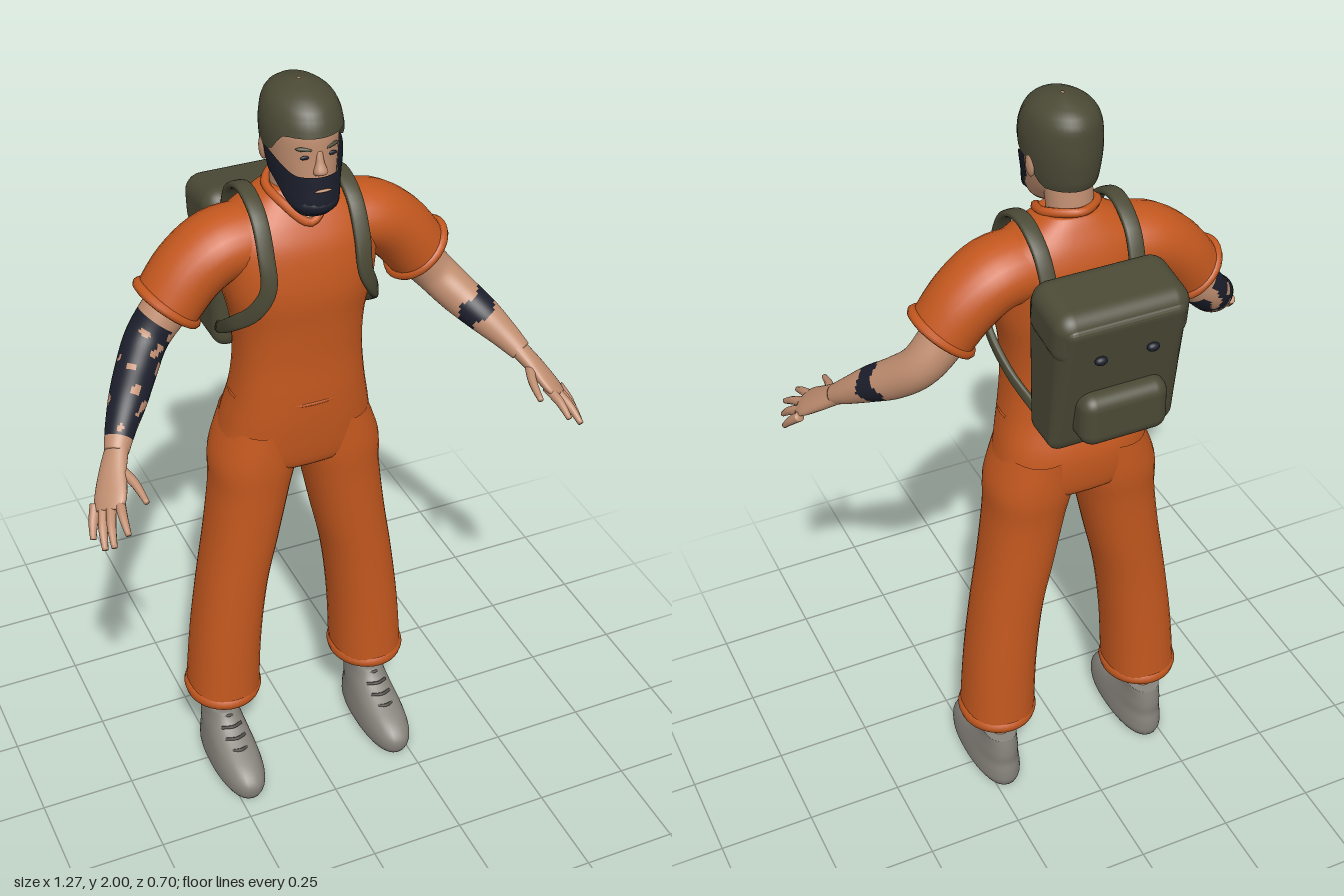
import * as THREE from 'three';
import { RoundedBoxGeometry } from 'three/addons/geometries/RoundedBoxGeometry.js';
import { ParametricGeometry } from 'three/addons/geometries/ParametricGeometry.js';

const V = (a) => new THREE.Vector3(...a);
const step = THREE.MathUtils.smoothstep;

// Catmull-Rom resampling of rows of numbers
function smooth(rows, sub) {
  const out = [], last = rows.length - 1;
  for (let i = 0; i < last; i++) {
    const p = [rows[Math.max(i - 1, 0)], rows[i], rows[i + 1], rows[Math.min(i + 2, last)]];
    for (let k = 0; k < sub; k++) {
      const t = k / sub;
      out.push(rows[i].map((b, c) => {
        const a = p[0][c], d = p[2][c], e = p[3][c];
        return b + 0.5 * t * (d - a + t * (2 * a - 5 * b + 4 * d - e + t * (3 * (b - d) + e - a)));
      }));
    }
  }
  out.push(rows[last]);
  return out;
}

// Skin through rows [x, y, z, ru, rv, (ref x, y, z)]; flat keeps every ring horizontal
function loft(rows, { sub = 5, n = 24, p = 2, ref = [1, 0, 0], flat = false, caps = true, paint = null } = {}) {
  const R = smooth(rows, sub), pos = [], faces = [[], []], m = R.length;
  const pow = (v) => Math.sign(v) * Math.abs(v) ** (2 / p);
  const offsets = [];
  R.forEach((r, i) => {
    const c = V(r.slice(0, 3));
    const t = flat ? V([0, 1, 0])
      : V(R[Math.min(i + 1, m - 1)].slice(0, 3)).sub(V(R[Math.max(i - 1, 0)].slice(0, 3))).normalize();
    const u = V(r.length > 5 ? r.slice(5, 8) : ref);
    u.addScaledVector(t, -u.dot(t)).normalize();
    const v = t.clone().cross(u);
    for (let j = 0; j < n; j++) {
      const a = (j / n) * Math.PI * 2;
      const o = u.clone().multiplyScalar(pow(Math.cos(a)) * r[3]).addScaledVector(v, pow(Math.sin(a)) * r[4]);
      offsets.push(o);
      pos.push(...c.clone().add(o).toArray());
    }
  });
  for (let i = 0; i < m - 1; i++) for (let j = 0; j < n; j++) {
    const a = i * n + j, b = i * n + (j + 1) % n, c = a + n, d = b + n;
    const k = paint && paint(i / (m - 1), (j / n) * Math.PI * 2, offsets[a].clone().normalize()) ? 1 : 0;
    faces[k].push(a, b, c, b, d, c);
  }
  if (caps) {
    const s = pos.length / 3, e = (m - 1) * n;
    pos.push(...R[0].slice(0, 3), ...R[m - 1].slice(0, 3));
    for (let j = 0; j < n; j++) {
      const k = (j + 1) % n;
      faces[0].push(s, k, j, s + 1, e + j, e + k);
    }
  }
  const g = new THREE.BufferGeometry();
  g.setAttribute('position', new THREE.Float32BufferAttribute(pos, 3));
  g.setIndex([...faces[0], ...faces[1]]);
  if (paint) {
    g.addGroup(0, faces[0].length, 0);
    g.addGroup(faces[0].length, faces[1].length, 1);
  }
  g.computeVertexNormals();
  return g;
}

export function createModel() {
  const root = new THREE.Group();
  const mat = (name, color) => {
    const m = new THREE.MeshStandardMaterial({ color, side: THREE.DoubleSide });
    m.name = name;
    return m;
  };
  const orange = mat('orange cloth', 0xc4581f), olive = mat('olive', 0x4b4a36), skin = mat('skin', 0xc08e70);
  const navy = mat('dark navy', 0x1c1f2c), grey = mat('shoe grey', 0x86827b), dark = mat('lace grey', 0x55524e);
  const add = (name, geo, m, at) => {
    const mesh = new THREE.Mesh(geo, m);
    mesh.name = name;
    if (at) mesh.position.set(...at);
    root.add(mesh);
    return mesh;
  };
  const blob = (name, m, at, size) => {
    const b = add(name, new THREE.SphereGeometry(1, 16, 10), m, at);
    b.scale.set(...size);
    return b;
  };

  // Overall: trunk, waist seam and collar
  add('torso', loft([
    [0, 0.975, -0.04, 0.12, 0.09], [0, 1.0, -0.04, 0.2, 0.118], [0, 1.1, -0.036, 0.19, 0.13],
    [0, 1.2, -0.02, 0.17, 0.12], [0, 1.3, -0.015, 0.16, 0.115], [0, 1.4, -0.017, 0.165, 0.122],
    [0, 1.5, -0.018, 0.188, 0.13], [0, 1.6, -0.028, 0.198, 0.125], [0, 1.66, -0.035, 0.18, 0.105],
    [0, 1.71, -0.04, 0.11, 0.075], [0, 1.735, -0.04, 0.07, 0.058],
  ], { p: 2.4, n: 40, flat: true }), orange);
  const seam = add('waistSeam', new THREE.TorusGeometry(1, 0.03, 6, 48), orange, [0, 1.19, -0.021]);
  seam.rotation.x = Math.PI / 2;
  seam.scale.set(0.17, 0.12, 0.15);
  const collarPath = new THREE.CatmullRomCurve3([
    [0, 1.672, 0.066], [0.055, 1.715, 0.025], [0.067, 1.738, -0.045], [0, 1.748, -0.1],
    [-0.067, 1.738, -0.045], [-0.055, 1.715, 0.025]].map(V), true);
  add('collar', new THREE.TubeGeometry(collarPath, 40, 0.011, 8, true), orange);
  const chest = blob('openNeck', skin, [0, 1.7, 0.042], [0.034, 0.034, 0.008]);
  chest.rotation.x = -0.75;

  // Head and neck
  add('neck', loft([[0, 1.62, -0.045, 0.058, 0.055], [0, 1.72, -0.042, 0.055, 0.054], [0, 1.82, -0.025, 0.058, 0.06]],
    { flat: true }), skin);
  const headRows = [
    [0, 1.715, 0.07, 0.04, 0.04], [0, 1.74, 0.055, 0.058, 0.07], [0, 1.79, 0.02, 0.07, 0.1],
    [0, 1.85, 0.01, 0.079, 0.105], [0, 1.91, 0.008, 0.081, 0.104], [0, 1.955, 0, 0.068, 0.09],
    [0, 1.98, -0.004, 0.038, 0.053], [0, 1.988, -0.004, 0.003, 0.004]];
  add('head', loft(headRows, { n: 32, flat: true }), skin);
  const fine = smooth(headRows, 8);
  const headAt = (y) => {
    let i = fine.findIndex((r) => r[1] >= y);
    i = i < 0 ? fine.length - 1 : Math.max(i, 1);
    const a = fine[i - 1], b = fine[i], t = THREE.MathUtils.clamp((y - a[1]) / (b[1] - a[1]), 0, 1);
    return a.map((v, k) => v + (b[k] - v) * t);
  };
  // Patch following the head between two height rules
  const shell = (from, to, lo, hi, k, lift) => new ParametricGeometry((u, v, out) => {
    const a = from + (to - from) * u, y = lo(a) + (hi(a) - lo(a)) * v, r = headAt(y);
    out.set(Math.sin(a) * r[3] * k, y + lift * v, r[2] + Math.cos(a) * r[4] * k);
  }, 40, 16);
  const hairEdge = (a) => {
    const c = Math.cos(a);
    return c > 0 ? 1.862 + 0.05 * step(c, 0.2, 0.65) : 1.862 - 0.062 * step(-c, 0, 0.6);
  };
  add('hair', shell(-Math.PI, Math.PI, hairEdge, () => 1.988, 1.13, 0.012), olive);
  add('beard', shell(-1.6, 1.6, (a) => 1.715 + 0.085 * step(Math.abs(a), 0.9, 1.6),
    (a) => 1.82 + 0.043 * step(Math.abs(a), 0.6, 1.5), 1.13, 0), navy);
  blob('chinBeard', navy, [0, 1.745, 0.085], [0.058, 0.034, 0.052]);
  blob('mouth', skin, [0, 1.787, 0.134], [0.022, 0.0035, 0.004]);
  add('nose', loft([[0, 1.818, 0.113, 0.013, 0.008], [0, 1.828, 0.118, 0.017, 0.017],
    [0, 1.85, 0.114, 0.01, 0.011], [0, 1.875, 0.108, 0.008, 0.007]], { n: 12, flat: true }), skin);
  for (const s of [1, -1]) {
    blob('eye', navy, [s * 0.032, 1.862, 0.106], [0.013, 0.005, 0.004]);
    const brow = blob('eyebrow', olive, [s * 0.034, 1.881, 0.104], [0.02, 0.005, 0.005]);
    brow.rotation.set(0, s * 0.35, s * 0.1);
    blob('ear', skin, [s * 0.083, 1.845, -0.012], [0.01, 0.03, 0.018]);
  }

  // Ink on the arms: broken sleeve on the right, band on the left
  const inkSleeve = (f, a, d) => f > 0.22 && f < 0.9
    && Math.sin(3 * a + 21 * f) + Math.sin(5 * a - 37 * f) + 0.7 * Math.sin(2 * a + 58 * f) > -0.7 - 1.3 * d.y;
  const inkBand = (f, a) => f > 0.56 + 0.015 * Math.sin(4 * a) && f < 0.68 + 0.02 * Math.sin(3 * a);

  for (const s of [1, -1]) {
    const side = s > 0 ? 'left' : 'right';
    const mir = (rows) => rows.map((r) => r.map((v, i) => (i === 0 || i === 5 ? s * v : v)));

    // Trouser leg with rolled cuff
    add(side + 'TrouserLeg', loft(mir([
      [0.212, 0.235, -0.036, 0.096, 0.107], [0.2, 0.42, -0.036, 0.092, 0.106], [0.178, 0.6, -0.036, 0.09, 0.106],
      [0.15, 0.75, -0.037, 0.094, 0.11], [0.125, 0.9, -0.038, 0.1, 0.116], [0.112, 1.0, -0.041, 0.108, 0.124],
      [0.1, 1.1, -0.042, 0.085, 0.122]]), { n: 32, p: 2.2, flat: true, caps: false }), orange);
    const cuff = add(side + 'TrouserCuff', new THREE.TorusGeometry(0.09, 0.02, 10, 36), orange, [s * 0.212, 0.243, -0.036]);
    cuff.rotation.x = Math.PI / 2;
    cuff.scale.set(0.94, 1.02, 1.15);

    // Ankle and shoe
    add(side + 'Ankle', loft(mir([[0.218, 0.1, -0.05, 0.034, 0.043], [0.217, 0.2, -0.048, 0.032, 0.043],
      [0.21, 0.42, -0.045, 0.045, 0.05]]), { flat: true }), skin);
    add(side + 'Shoe', loft(mir([
      [0.218, 0, 0.035, 0.056, 0.155], [0.218, 0.02, 0.036, 0.065, 0.163], [0.218, 0.05, 0.035, 0.064, 0.162],
      [0.218, 0.08, 0.02, 0.059, 0.143], [0.218, 0.11, -0.015, 0.053, 0.11], [0.218, 0.14, -0.04, 0.047, 0.083],
      [0.218, 0.17, -0.05, 0.044, 0.068]]), { n: 32, p: 2.3, flat: true }), grey);
    for (let i = 0; i < 4; i++) {
      const y = 0.1 + i * 0.018, z = 0.105 - i * 0.028;
      const lace = new THREE.CatmullRomCurve3([[-0.028, y, z - 0.012], [0, y + 0.006, z + 0.002], [0.028, y, z - 0.012]]
        .map(([x, b, c]) => new THREE.Vector3(s * 0.218 + x, b, c)));
      add(side + 'Lace', new THREE.TubeGeometry(lace, 8, 0.0045, 6), dark);
    }

    // Short sleeve with rolled cuff
    add(side + 'Sleeve', loft(mir([[0.1, 1.61, -0.035, 0.085, 0.095], [0.19, 1.602, -0.037, 0.083, 0.1],
      [0.265, 1.55, -0.037, 0.083, 0.094], [0.323, 1.477, -0.033, 0.08, 0.088]]),
    { ref: [0, 1, 0.01], n: 28, caps: false }), orange);
    const roll = add(side + 'SleeveCuff', new THREE.TorusGeometry(0.081, 0.013, 8, 32), orange, [s * 0.321, 1.48, -0.033]);
    roll.quaternion.setFromUnitVectors(V([0, 0, 1]), V([s * 0.65, -0.76, 0.03]).normalize());

    // Arm
    add(side + 'Arm', loft(mir([[0.25, 1.55, -0.04, 0.055, 0.055], [0.32, 1.465, -0.04, 0.056, 0.056],
      [0.375, 1.4, -0.03, 0.052, 0.053], [0.42, 1.35, 0.015, 0.05, 0.05], [0.462, 1.31, 0.07, 0.044, 0.046],
      [0.498, 1.272, 0.118, 0.034, 0.037], [0.525, 1.24, 0.16, 0.025, 0.029]]),
    { ref: [0, 1, 0], n: 40, sub: 10, paint: s > 0 ? inkBand : inkSleeve }), [skin, navy]);

    // Hand
    add(side + 'Palm', loft(mir([[0.515, 1.252, 0.145, 0.028, 0.023], [0.545, 1.215, 0.19, 0.036, 0.02],
      [0.57, 1.178, 0.24, 0.043, 0.016], [0.582, 1.16, 0.263, 0.034, 0.011]]), { ref: [s * 0.8, -0.6, -0.15] }), skin);
    const fingers = [
      [[0.553, 1.18, 0.25], [0.562, 1.166, 0.3], [0.565, 1.145, 0.345]],
      [[0.572, 1.17, 0.25], [0.59, 1.148, 0.3], [0.6, 1.12, 0.345]],
      [[0.588, 1.16, 0.24], [0.606, 1.132, 0.285], [0.615, 1.1, 0.322]],
      [[0.602, 1.155, 0.222], [0.618, 1.128, 0.25], [0.628, 1.1, 0.275]],
      [[0.535, 1.222, 0.185], [0.513, 1.207, 0.245], [0.505, 1.19, 0.305]]];
    for (const f of fingers) {
      add(side + 'Finger', loft(mir(f.map((q, i) => [...q, [0.013, 0.011, 0.007][i], [0.013, 0.011, 0.007][i]])),
        { n: 10 }), skin);
    }

    // Backpack strap: over the shoulder, down the chest and under the arm
    add(side + 'Strap', loft(mir([
      [0.11, 1.6, -0.175, 0.009, 0.02, 0, 0, -1], [0.115, 1.69, -0.13, 0.009, 0.02, 0, 0.7, -0.7],
      [0.118, 1.732, -0.045, 0.009, 0.02, 0, 1, 0], [0.119, 1.7, 0.04, 0.009, 0.02, 0, 0.6, 0.8],
      [0.12, 1.62, 0.088, 0.009, 0.02, 0, 0.3, 1], [0.122, 1.54, 0.105, 0.009, 0.02, 0.3, 0, 1],
      [0.152, 1.475, 0.085, 0.009, 0.02, 0.7, 0, 0.7], [0.182, 1.42, 0.025, 0.009, 0.018, 1, 0, 0.2],
      [0.174, 1.35, -0.075, 0.008, 0.015, 1, 0, -0.2], [0.145, 1.29, -0.17, 0.008, 0.014, 0.7, 0, -0.7]]),
    { n: 16, p: 3 }), olive);
    blob('flapButton', navy, [s * 0.065, 1.512, -0.338], [0.016, 0.011, 0.01]);
  }

  // Backpack: body narrowing downward, flap and pocket
  const body = new RoundedBoxGeometry(0.32, 0.39, 0.17, 5, 0.035);
  const bp = body.attributes.position;
  for (let i = 0; i < bp.count; i++) {
    if (bp.getZ(i) < 0) bp.setZ(i, bp.getZ(i) * (1 + 0.5 * bp.getY(i) / 0.195));
  }
  body.computeVertexNormals();
  add('backpackBody', body, olive, [0, 1.427, -0.228]);
  const flap = add('backpackFlap', new RoundedBoxGeometry(0.336, 0.14, 0.185, 5, 0.045), olive, [0, 1.578, -0.248]);
  flap.rotation.x = -0.14;
  add('backpackPocket', new RoundedBoxGeometry(0.22, 0.135, 0.1, 5, 0.035), olive, [0, 1.345, -0.302]);

  return root;
}
